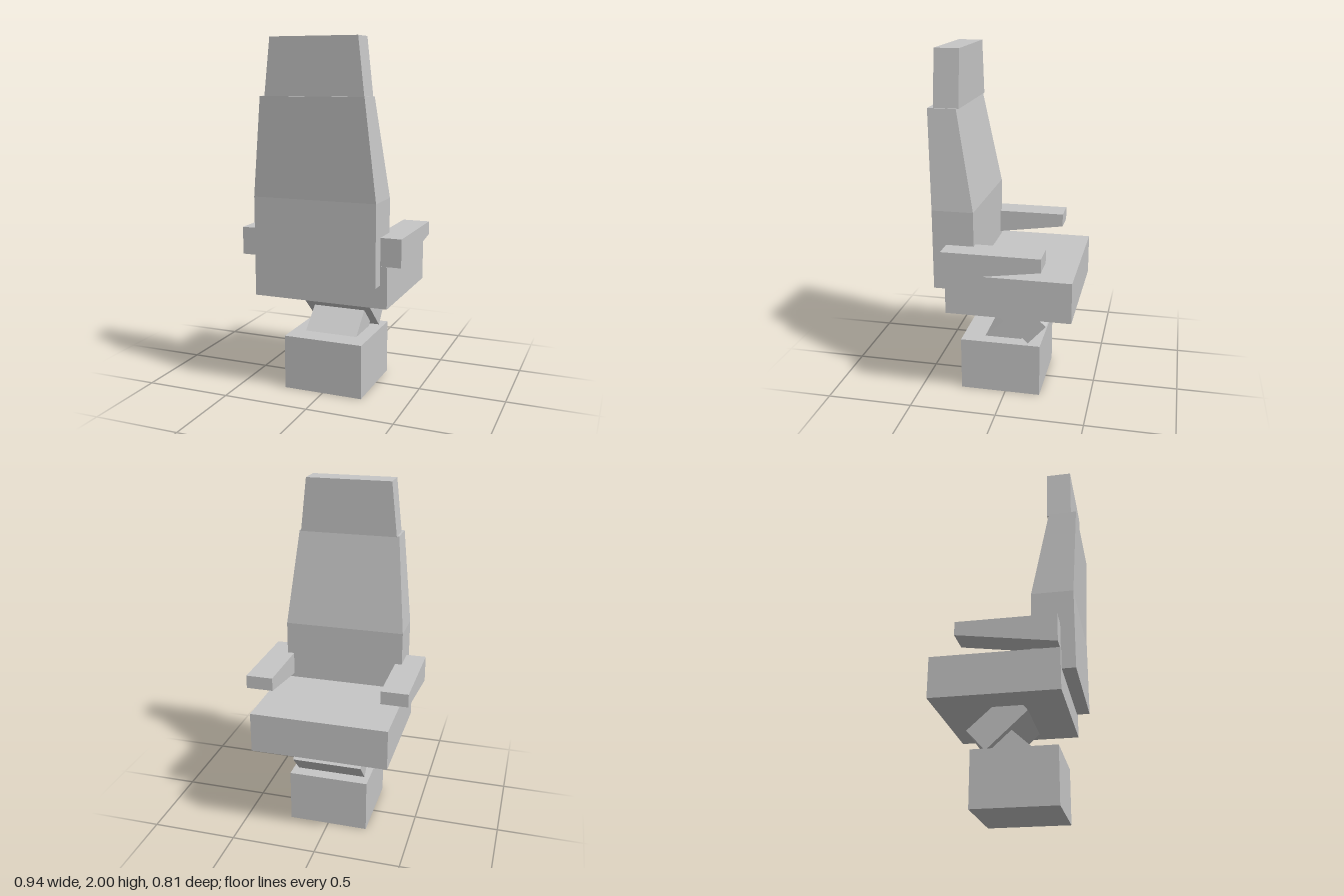
import * as THREE from 'three';

const grey = new THREE.MeshStandardMaterial({ color: 0xc6c6c6 });
grey.name = 'grey';

function mesh(name, geometry) {
  const m = new THREE.Mesh(geometry, grey);
  m.name = name;
  return m;
}

// Box given by its limits on each axis
function block(name, x0, x1, y0, y1, z0, z1) {
  const g = new THREE.BoxGeometry(x1 - x0, y1 - y0, z1 - z0);
  g.translate((x0 + x1) / 2, (y0 + y1) / 2, (z0 + z1) / 2);
  return mesh(name, g);
}

// Side profile of [z, y] points, extruded from x0 to x1
function sideProfile(name, points, x0, x1) {
  const shape = new THREE.Shape(points.map(([z, y]) => new THREE.Vector2(z, y)));
  const g = new THREE.ExtrudeGeometry(shape, { depth: x1 - x0, bevelEnabled: false });
  g.rotateY(-Math.PI / 2);
  g.translate(x1, 0, 0);
  return mesh(name, g);
}

// Rectangular rings [y, half width, zMin, zMax] joined from bottom to top
function stack(name, rings) {
  const corners = rings.map(([y, w, a, b]) => [[-w, y, b], [w, y, b], [w, y, a], [-w, y, a]]);
  const pos = [];
  const quad = (a, b, c, d) => pos.push(...a, ...b, ...c, ...a, ...c, ...d);
  for (let i = 0; i < corners.length - 1; i++) {
    const lo = corners[i], hi = corners[i + 1];
    for (let k = 0; k < 4; k++) {
      const n = (k + 1) % 4;
      quad(lo[k], lo[n], hi[n], hi[k]);
    }
  }
  const bottom = corners[0], top = corners[corners.length - 1];
  quad(...top);
  quad(bottom[3], bottom[2], bottom[1], bottom[0]);
  const g = new THREE.BufferGeometry();
  g.setAttribute('position', new THREE.Float32BufferAttribute(pos, 3));
  g.computeVertexNormals();
  return mesh(name, g);
}

export function createModel() {
  const chair = new THREE.Group();
  chair.name = 'chair';

  // Pedestal and seat cushion
  chair.add(block('base', -0.235, 0.235, 0, 0.315, -0.205, 0.265));
  chair.add(block('seat', -0.395, 0.395, 0.555, 0.79, -0.405, 0.305));

  // Crossed supports between base and seat
  chair.add(sideProfile('wideSupport',
    [[-0.13, 0.315], [0.1, 0.525], [0.0, 0.64], [-0.235, 0.43]], -0.205, 0.205));
  chair.add(sideProfile('narrowSupport',
    [[0.135, 0.315], [-0.05, 0.485], [-0.16, 0.39], [-0.08, 0.315]], -0.158, 0.158));

  // Tapered backrest and headrest
  chair.add(stack('backrest', [
    [0.685, 0.355, 0.147, 0.38],
    [1.14, 0.355, 0.147, 0.38],
    [1.69, 0.297, 0.247, 0.405],
  ]));
  chair.add(stack('headrest', [
    [1.688, 0.285, 0.235, 0.374],
    [2, 0.25, 0.235, 0.374],
  ]));

  // Wedge-shaped armrests
  const armrest = [[0.303, 0.79], [0.303, 0.947], [-0.247, 0.947], [-0.247, 0.87]];
  chair.add(sideProfile('leftArmrest', armrest, 0.315, 0.472));
  chair.add(sideProfile('rightArmrest', armrest, -0.472, -0.315));

  return chair;
}
